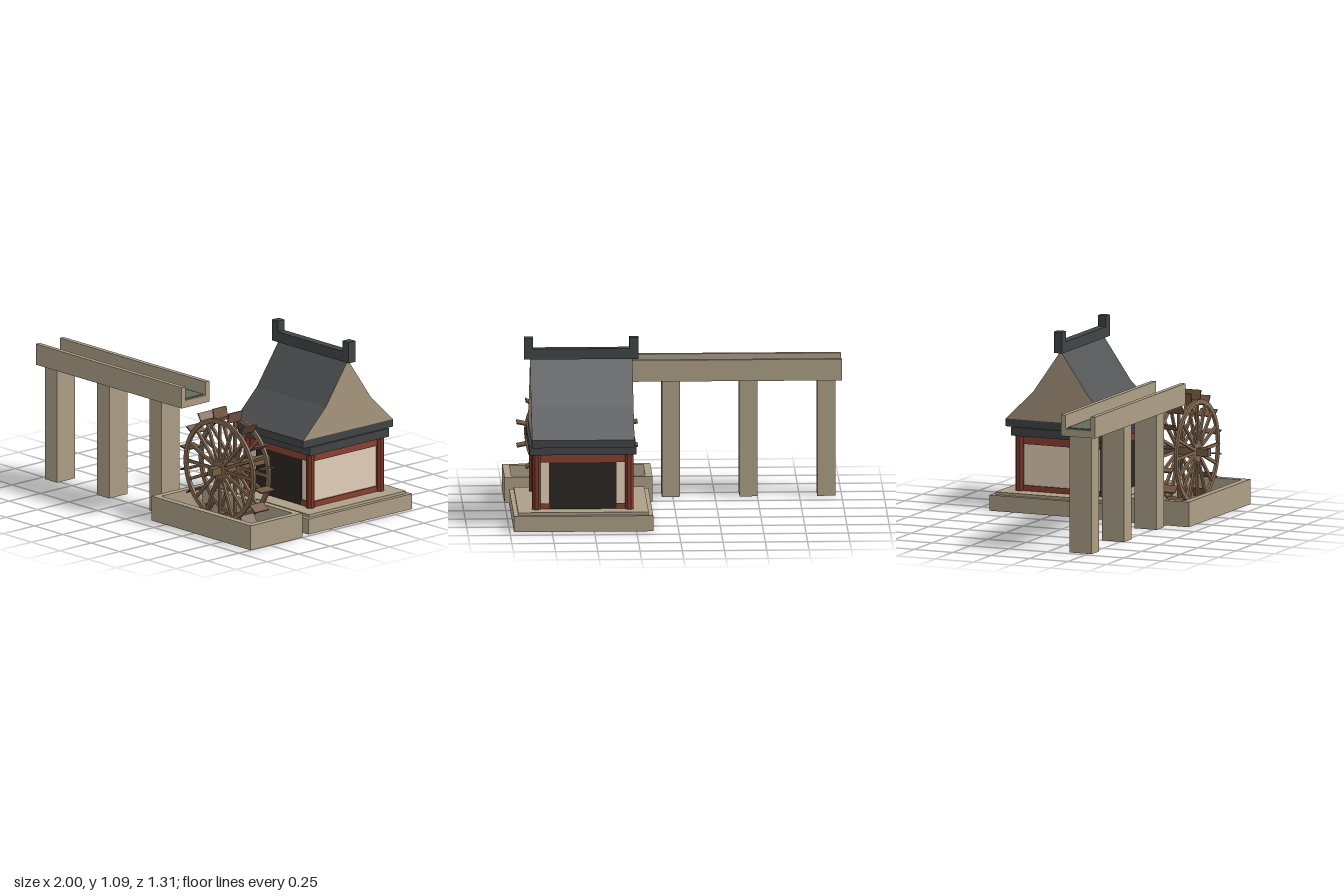
import * as THREE from 'three';

const mat = (color, extra = {}) => new THREE.MeshStandardMaterial({ color, flatShading: true, ...extra });
const M = {
  stone: mat(0xad9f87),
  hollowStone: mat(0xad9f87, { side: THREE.DoubleSide }),
  red: mat(0x8a4031),
  post: mat(0x81392b),
  cream: mat(0xe4d0bb),
  dark: mat(0x2b2622),
  roof: mat(0x535456),
  trim: mat(0x424446),
  gable: mat(0xa8967d),
  wheel: mat(0x866a52),
  axle: mat(0x755f43),
  paddle: mat(0x745640),
  water: mat(0x626f5c),
};

function add(parent, name, geometry, material) {
  const mesh = new THREE.Mesh(geometry, material);
  mesh.name = name;
  parent.add(mesh);
  return mesh;
}

// Box given by its limits on each axis
function box(parent, name, material, [x0, x1], [y0, y1], [z0, z1]) {
  const mesh = add(parent, name, new THREE.BoxGeometry(x1 - x0, y1 - y0, z1 - z0), material);
  mesh.position.set((x0 + x1) / 2, (y0 + y1) / 2, (z0 + z1) / 2);
  return mesh;
}

// Stone box standing on the ground, with its bottom face left out
function hollowBox(parent, name, x, height, z) {
  const mesh = box(parent, name, M.hollowStone, x, [0, height], z);
  const index = Array.from(mesh.geometry.index.array);
  index.splice(18, 6);
  mesh.geometry.setIndex(index);
  return mesh;
}

function group(parent, name) {
  const g = new THREE.Group();
  g.name = name;
  parent.add(g);
  return g;
}

function buildHouse(root) {
  const house = group(root, 'millHouse');
  house.position.set(0.563, 0, -0.241);
  const slab = (name, m, w, y, d) => box(house, name, m, [-w, w], y, [-d, d]);

  // Stepped base and wall core
  hollowBox(house, 'base', [-0.412, 0.412], 0.094, [-0.413, 0.413]);
  slab('baseStep', M.stone, 0.386, [0.094, 0.111], 0.386);
  slab('walls', M.cream, 0.272, [0.111, 0.443], 0.272);

  // Doorways in front and back, beams on all four sides, corner posts
  for (const s of [-1, 1]) {
    const door = box(house, 'doorway', M.dark, [-0.2, 0.2], [0.111, 0.392], [-0.006, 0.006]);
    door.position.z = s * 0.274;
    for (const y of [[0.111, 0.144], [0.392, 0.443]]) {
      box(house, 'sideBeam', M.red, [-0.01, 0.01], y, [-0.27, 0.27]).position.x = s * 0.272;
    }
    box(house, 'endBeam', M.red, [-0.27, 0.27], [0.392, 0.443], [-0.01, 0.01]).position.z = s * 0.272;
    for (const t of [-1, 1]) {
      box(house, 'sillBeam', M.red, [-0.037, 0.037], [0.111, 0.144], [-0.01, 0.01]).position.set(t * 0.236, 0.1275, s * 0.272);
      const post = add(house, 'cornerPost', new THREE.CylinderGeometry(0.027, 0.027, 0.332, 8), M.post);
      post.rotation.y = Math.PI / 8;
      post.position.set(s * 0.275, 0.277, t * 0.277);
    }
  }

  // Eaves
  slab('lowerEave', M.trim, 0.316, [0.443, 0.494], 0.316);
  slab('upperEave', M.trim, 0.303, [0.494, 0.54], 0.358);

  // Flared gable roof, extruded along x
  const profile = [[-0.358, 0.54], [0.358, 0.54], [0.179, 0.713], [0, 0.97], [-0.179, 0.713]];
  const roofGeometry = new THREE.ExtrudeGeometry(
    new THREE.Shape(profile.map(([a, b]) => new THREE.Vector2(a, b))),
    { depth: 0.606, bevelEnabled: false });
  roofGeometry.translate(0, 0, -0.303).rotateY(Math.PI / 2);
  add(house, 'roof', roofGeometry, [M.gable, M.roof]);

  // Ridge with raised ends
  slab('ridge', M.trim, 0.339, [0.963, 1.026], 0.027);
  for (const s of [-1, 1]) {
    box(house, 'ridgeEnd', M.trim, [-0.027, 0.027], [0.963, 1.091], [-0.027, 0.027]).position.x = s * 0.312;
  }
}

function buildBasin(root) {
  // Open frame of low walls
  const basin = group(root, 'basin');
  basin.position.set(0.562, 0, 0.45);
  for (const s of [-1, 1]) {
    hollowBox(basin, 'longWall', [-0.438, 0.438], 0.15, [-0.021, 0.021]).position.z = s * 0.185;
    hollowBox(basin, 'shortWall', [-0.021, 0.021], 0.15, [-0.164, 0.164]).position.x = s * 0.417;
  }
}

function buildAqueduct(root) {
  const aqueduct = group(root, 'aqueduct');
  const x = [-1, 0.285];
  box(aqueduct, 'troughFloor', M.stone, x, [0.703, 0.747], [0.34, 0.561]);
  box(aqueduct, 'troughWall', M.stone, x, [0.747, 0.831], [0.34, 0.37]);
  box(aqueduct, 'troughWall', M.stone, x, [0.747, 0.831], [0.531, 0.561]);
  box(aqueduct, 'water', M.water, [-0.985, 0.27], [0.74, 0.754], [0.377, 0.524]);

  for (const px of [-0.909, -0.449, 0.011]) {
    hollowBox(aqueduct, 'pillar', [px - 0.0535, px + 0.0535], 0.703, [0.378, 0.522]);
  }
}

function buildWheel(root) {
  const wheel = group(root, 'waterWheel');
  wheel.position.set(0.564, 0.374, 0.448);
  box(wheel, 'axle', M.axle, [-0.022, 0.022], [-0.023, 0.023], [-0.32, 0.14]);

  const ring = new THREE.Shape().absarc(0, 0, 0.311, 0, Math.PI * 2);
  ring.holes.push(new THREE.Path().absarc(0, 0, 0.283, 0, Math.PI * 2, true));
  const rimGeometry = new THREE.ExtrudeGeometry(ring, { depth: 0.016, bevelEnabled: false, curveSegments: 32 });
  rimGeometry.translate(0, 0, -0.008);
  const spokeGeometry = new THREE.BoxGeometry(0.275, 0.018, 0.014).translate(0.1525, 0, 0);
  const paddleGeometry = new THREE.BoxGeometry(0.063, 0.008, 0.108).translate(0.3335, 0, 0);

  // Two rims, each with sixteen spokes
  const count = 16, step = (Math.PI * 2) / count;
  for (const s of [-1, 1]) {
    add(wheel, 'rim', rimGeometry, M.wheel).position.z = s * 0.06;
    for (let i = 0; i < count; i++) {
      const spoke = add(wheel, 'spoke', spokeGeometry, M.wheel);
      spoke.position.z = s * 0.06;
      spoke.rotation.z = i * step;
    }
  }
  // Paddles between the rims
  for (let i = 0; i < count; i++) {
    add(wheel, 'paddle', paddleGeometry, M.paddle).rotation.z = (i + 0.5) * step;
  }
}

export function createModel() {
  const root = new THREE.Group();
  root.name = 'waterMill';
  buildHouse(root);
  buildBasin(root);
  buildAqueduct(root);
  buildWheel(root);
  return root;
}
